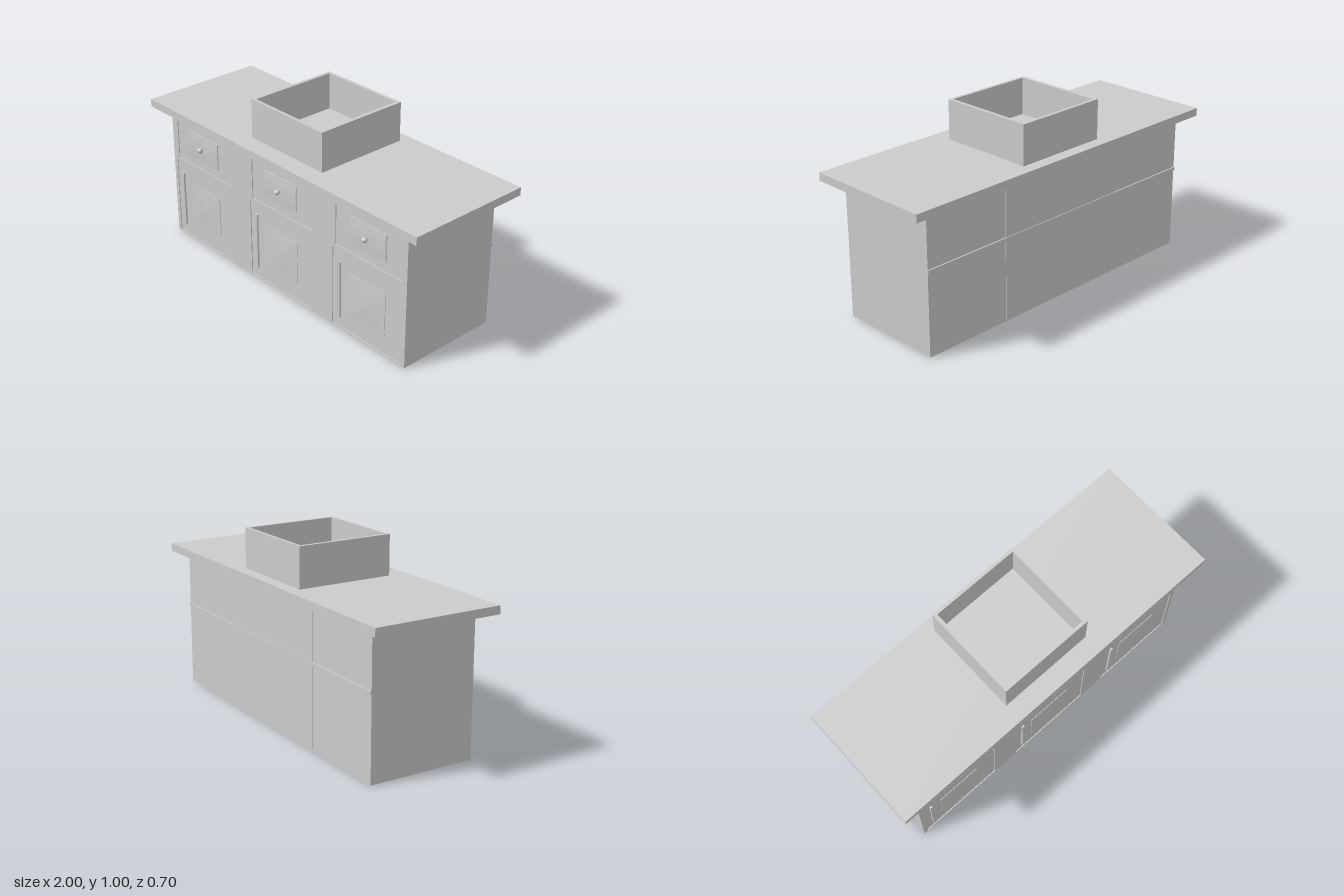
import * as THREE from 'three';

const material = new THREE.MeshStandardMaterial({ color: 0xcccccc, flatShading: true });
const smooth = new THREE.MeshStandardMaterial({ color: 0xcccccc });

function add(parent, name, geometry, x = 0, y = 0, z = 0, mat = material) {
  const mesh = new THREE.Mesh(geometry, mat);
  mesh.name = name;
  mesh.position.set(x, y, z);
  parent.add(mesh);
  return mesh;
}

// Box given by its limits on each axis
function slab(parent, name, x0, x1, y0, y1, z0, z1) {
  return add(parent, name, new THREE.BoxGeometry(x1 - x0, y1 - y0, z1 - z0),
    (x0 + x1) / 2, (y0 + y1) / 2, (z0 + z1) / 2);
}

function rect(path, x0, x1, y0, y1) {
  path.moveTo(x0, y0).lineTo(x1, y0).lineTo(x1, y1).lineTo(x0, y1).closePath();
  return path;
}

// Flat plate with rectangular openings
function frame(outer, holes, depth) {
  const shape = rect(new THREE.Shape(), ...outer);
  for (const h of holes) shape.holes.push(rect(new THREE.Path(), ...h));
  return new THREE.ExtrudeGeometry(shape, { depth, bevelEnabled: false });
}

// Block whose front face shrinks by sx, sy
function bevelled(w, h, d, sx, sy) {
  const geometry = new THREE.BoxGeometry(w, h, d);
  const p = geometry.attributes.position;
  for (let i = 0; i < p.count; i++) {
    if (p.getZ(i) > 0) p.setXY(i, p.getX(i) * sx, p.getY(i) * sy);
  }
  geometry.computeVertexNormals();
  return geometry;
}

export function createModel() {
  const model = new THREE.Group();
  model.name = 'vanityCabinet';
  const centres = [-0.63, 0, 0.63];

  // Cabinet carcass, back centre panel and back rail
  slab(model, 'cabinetBody', -0.895, 0.895, 0, 0.745, -0.292, 0.285);
  slab(model, 'backPanel', -0.396, 0.396, 0.012, 0.745, -0.295, -0.29);
  slab(model, 'backRail', -0.895, 0.895, 0.44, 0.458, -0.299, -0.29);

  // Front frame around recessed drawers and doors
  const openings = centres.flatMap(c => [
    [c - 0.22, c + 0.24, 0.47, 0.73],
    [c - 0.24, c + 0.24, 0.01, 0.45],
  ]);
  add(model, 'frontFrame', frame([-0.895, 0.895, 0, 0.745], openings, 0.005), 0, 0, 0.285);

  for (const c of centres) {
    const unit = new THREE.Group();
    unit.name = 'cabinetUnit';
    unit.position.x = c;
    model.add(unit);

    // Drawer: raised panel, knob on a short stem
    slab(unit, 'drawerPanel', -0.125, 0.125, 0.52, 0.67, 0.284, 0.289);
    add(unit, 'drawerPanelFace', bevelled(0.25, 0.15, 0.003, 0.95, 0.35), 0, 0.595, 0.2905);
    const stem = add(unit, 'knobStem', new THREE.CylinderGeometry(0.005, 0.005, 0.02, 12), 0, 0.597, 0.297, smooth);
    stem.rotation.x = Math.PI / 2;
    add(unit, 'knob', new THREE.SphereGeometry(0.014, 20, 14), 0, 0.597, 0.309, smooth);

    // Door: raised panel with a shallow pyramid, tall pull on the left
    slab(unit, 'doorPanel', -0.125, 0.125, 0.108, 0.348, 0.284, 0.288);
    add(unit, 'doorPyramid', bevelled(0.25, 0.24, 0.005, 0.01, 0.01), 0, 0.228, 0.2905);
    slab(unit, 'doorHandle', -0.198, -0.183, 0.066, 0.386, 0.284, 0.295);
  }

  // Countertop
  slab(model, 'countertop', -1, 1, 0.743, 0.786, -0.35, 0.35);

  // Open vessel basin
  const basin = new THREE.Group();
  basin.name = 'basin';
  basin.position.set(0, 0.786, -0.019);
  model.add(basin);
  const walls = add(basin, 'basinWalls',
    frame([-0.264, 0.264, -0.264, 0.264], [[-0.245, 0.245, -0.247, 0.247]], 0.213));
  walls.rotation.x = -Math.PI / 2;
  slab(basin, 'basinFloor', -0.246, 0.246, -0.002, 0.012, -0.248, 0.248);

  return model;
}
